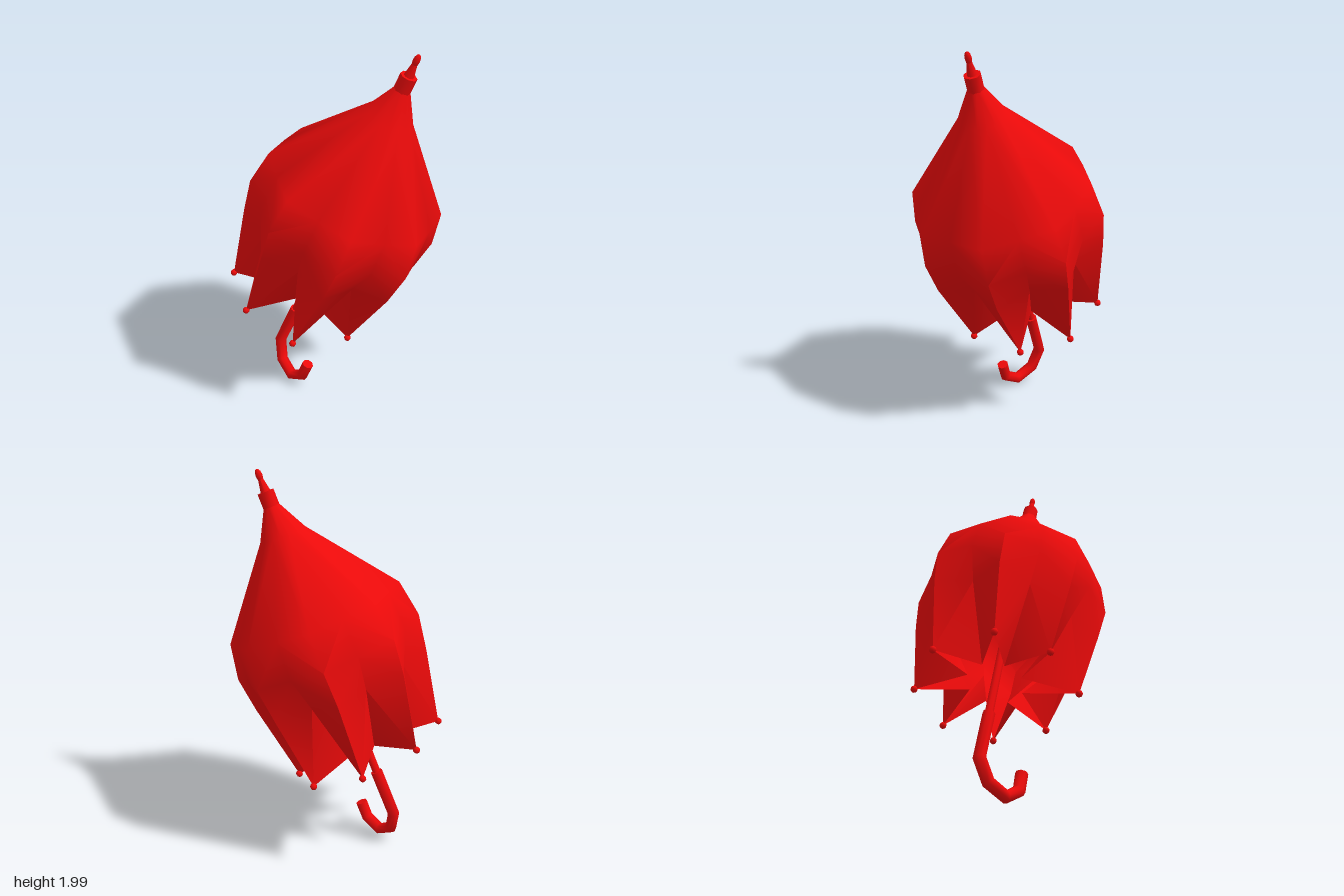
import * as THREE from 'three';
import { toCreasedNormals } from 'three/addons/utils/BufferGeometryUtils.js';

const deg = THREE.MathUtils.degToRad;

// Rib ends, slightly uneven: angle around the shaft (degrees), distance from it
const RIB_ENDS = [
  [4.7, 0.363], [51.3, 0.384], [91, 0.402], [133, 0.395],
  [181, 0.372], [231.5, 0.4], [271, 0.405], [314, 0.41],
];
const N = RIB_ENDS.length * 2;

// Canopy sections above the hem: rib radius / height, valley radius / height
const SECTIONS = [
  { rib: [0.47, 0.4], valley: [0.365, 0.4] },
  { rib: [0.495, 0.585], valley: [0.445, 0.585] },
  { rib: [0.46, 0.775], valley: [0.43, 0.775] },
  { rib: [0.12, 1.2], valley: [0.113, 1.2] },
  { rib: [0.035, 1.36], valley: [0.033, 1.36] },
];

const around = (angle, r, y) => [r * Math.sin(deg(angle)), y, r * Math.cos(deg(angle))];

// Pleated cloth: ribs alternate with valleys that fold in towards the shaft at the hem
function canopyGeometry() {
  const pos = [], index = [];
  for (let i = 0; i < N; i++) {
    if (i % 2) pos.push(...around(i * 22.5 + 2, 0.14, 0.045));
    else pos.push(...around(...RIB_ENDS[i / 2], 0));
  }
  for (const section of SECTIONS) {
    for (let i = 0; i < N; i++) {
      pos.push(...around(i * 22.5 + 2, ...(i % 2 ? section.valley : section.rib)));
    }
  }
  for (let j = 0; j < SECTIONS.length; j++) {
    for (let i = 0; i < N; i++) {
      const a = j * N + i, b = j * N + (i + 1) % N, c = a + N, d = b + N;
      // diagonals mirror about each rib
      if (i % 2) index.push(a, b, c, b, d, c);
      else index.push(a, b, d, a, d, c);
    }
  }
  const g = new THREE.BufferGeometry();
  g.setAttribute('position', new THREE.Float32BufferAttribute(pos, 3));
  g.setIndex(index);
  return toCreasedNormals(g, 0.9);
}

export function createModel() {
  const model = new THREE.Group();
  model.name = 'umbrella';
  const red = new THREE.MeshStandardMaterial({ color: 0xeb0a0a });
  const cloth = new THREE.MeshStandardMaterial({ color: 0xeb0a0a, side: THREE.DoubleSide });

  // Leaning frame: local y runs up the shaft, local z points along the hook
  const body = new THREE.Group();
  body.name = 'leaningBody';
  const axis = new THREE.Vector3(0.197, 0.927, 0.32).normalize();
  const side = new THREE.Vector3().crossVectors(axis, new THREE.Vector3(0, -0.326, 0.945)).normalize();
  const hookDir = new THREE.Vector3().crossVectors(side, axis);
  body.quaternion.setFromRotationMatrix(new THREE.Matrix4().makeBasis(side, axis, hookDir));
  body.position.set(-0.093, 0.568, -0.155);
  model.add(body);

  const add = (name, geometry, material = red) => {
    const mesh = new THREE.Mesh(geometry, material);
    mesh.name = name;
    body.add(mesh);
    return mesh;
  };
  const rod = (name, rTop, rBottom, y0, y1) =>
    add(name, toCreasedNormals(new THREE.CylinderGeometry(rTop, rBottom, y1 - y0, 8), 0.9))
      .position.set(0, (y0 + y1) / 2, 0);

  add('canopy', canopyGeometry(), cloth);

  // Bead at the end of each rib
  for (const [angle, r] of RIB_ENDS) {
    add('ribBead', new THREE.SphereGeometry(0.018, 8, 6)).position.set(...around(angle, r, 0));
  }

  // Shaft, crown collar and pointed tip
  rod('shaft', 0.021, 0.021, -0.16, 1.36);
  rod('collar', 0.042, 0.042, 1.33, 1.425);
  rod('tipCone', 0.013, 0.026, 1.42, 1.49);
  const knob = add('tipKnob', new THREE.SphereGeometry(0.017, 8, 6));
  knob.scale.y = 2;
  knob.position.y = 1.508;

  // Crook handle, bent in a few straight steps
  const path = [
    [0, -0.14], [-0.003, -0.4], [0.068, -0.495], [0.174, -0.515], [0.239, -0.445], [0.238, -0.35],
  ].map(([z, y]) => new THREE.Vector3(0, y, z));
  const curve = new THREE.CatmullRomCurve3(path);
  curve.getUtoTmapping = (u) => u; // one tube section per path point
  add('handle', new THREE.TubeGeometry(curve, path.length - 1, 0.031, 8));
  [0, 1].forEach((t) => {
    const cap = add('handleCap', new THREE.CircleGeometry(0.031, 8));
    const out = curve.getTangent(t).multiplyScalar(t ? 1 : -1);
    cap.position.copy(curve.getPoint(t));
    cap.quaternion.setFromUnitVectors(new THREE.Vector3(0, 0, 1), out);
  });

  return model;
}
